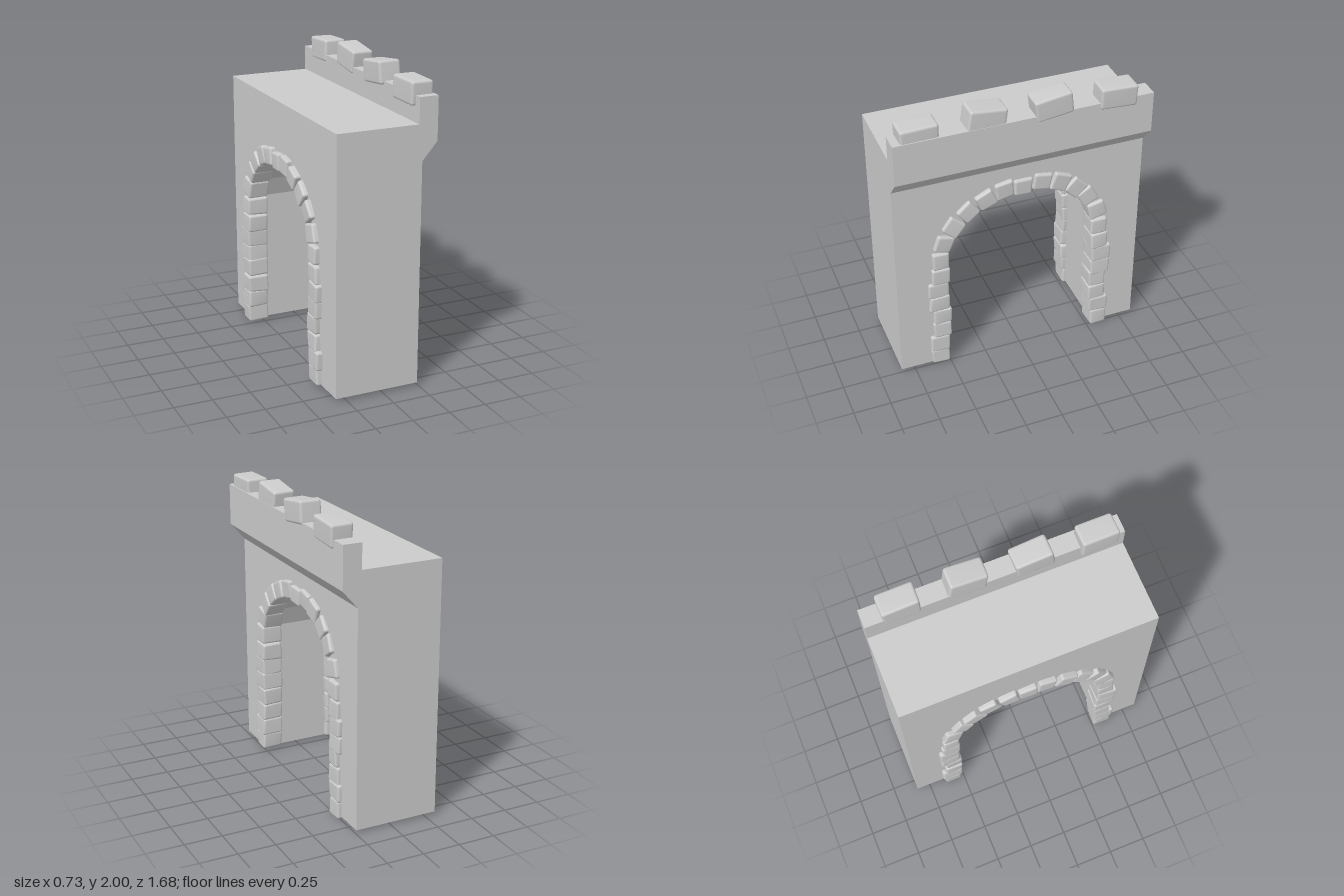
import * as THREE from 'three';
import { mergeVertices } from 'three/addons/utils/BufferGeometryUtils.js';
import { RoundedBoxGeometry } from 'three/addons/geometries/RoundedBoxGeometry.js';

const grey = new THREE.MeshStandardMaterial({ color: 0xcccccc });

// Small seeded generator, returns -1..1
let seed = 7;
function rand() {
  seed = (seed * 16807) % 2147483647;
  return (seed / 2147483647) * 2 - 1;
}

// Worn block: a rounded box whose eight corners are pulled about slightly
function stoneGeometry(w, h, d, radius, wobble) {
  const geo = new RoundedBoxGeometry(w, h, d, 2, radius);
  const p = geo.attributes.position;
  const corners = Array.from({ length: 8 }, () => new THREE.Vector3(rand(), rand(), rand()).multiplyScalar(wobble));
  const v = new THREE.Vector3();
  for (let i = 0; i < p.count; i++) {
    v.fromBufferAttribute(p, i);
    const t = [v.x / w + 0.5, v.y / h + 0.5, v.z / d + 0.5];
    corners.forEach((c, k) => {
      const weight = t.reduce((m, s, axis) => m * ((k >> axis) & 1 ? s : 1 - s), 1);
      v.addScaledVector(c, weight);
    });
    p.setXYZ(i, v.x, v.y, v.z);
  }
  geo.deleteAttribute('normal');
  geo.deleteAttribute('uv');
  const smooth = mergeVertices(geo, 1e-5);
  smooth.computeVertexNormals();
  return smooth;
}

function addMesh(parent, name, geo) {
  const mesh = new THREE.Mesh(geo, grey);
  mesh.name = name;
  parent.add(mesh);
  return mesh;
}

// Arch stones: z, y, radial width, outward angle in degrees
const archStones = [
  [0.57, 0.075, 0.12, 0], [0.57, 0.185, 0.14, 0], [0.55, 0.3, 0.12, 0], [0.547, 0.415, 0.12, 0],
  [0.563, 0.527, 0.14, 0], [0.565, 0.637, 0.14, 0], [0.55, 0.75, 0.12, 0], [0.545, 0.873, 0.115, 2],
  [0.52, 1.0, 0.12, 20], [0.455, 1.12, 0.12, 38], [0.355, 1.21, 0.12, 50], [0.24, 1.277, 0.12, 65],
  [0.11, 1.318, 0.12, 80], [-0.016, 1.315, 0.115, 93], [-0.143, 1.318, 0.115, 102], [-0.27, 1.285, 0.125, 114],
  [-0.38, 1.213, 0.12, 135], [-0.466, 1.12, 0.115, 148], [-0.535, 0.998, 0.12, 165],
  [-0.556, 0.86, 0.115, 180], [-0.562, 0.733, 0.12, 180], [-0.577, 0.625, 0.14, 180], [-0.577, 0.515, 0.14, 180],
  [-0.556, 0.412, 0.12, 180], [-0.562, 0.287, 0.12, 180], [-0.577, 0.175, 0.14, 180], [-0.577, 0.066, 0.12, 180],
];

// Merlons along the parapet: x, y, z, tilt
const merlons = [
  [0.263, 1.88, 0.67, 0],
  [0.268, 1.907, 0.245, -0.12],
  [0.283, 1.914, -0.18, 0.14],
  [0.288, 1.893, -0.605, -0.05],
];

export function createModel() {
  const group = new THREE.Group();
  group.name = 'gateway';

  // Wall block with a faceted arched opening running through it
  const half = 0.8425;
  const archHalf = [[0.54, 0.02], [0.54, 0.92], [0.49, 1.05], [0.4, 1.16], [0.27, 1.25], [0.13, 1.3]];
  const opening = [...archHalf, ...archHalf.map(([z, y]) => [-z, y]).reverse()];
  const outline = [...opening, [-half, 0.02], [-half, 1.705], [half, 1.705], [half, 0.02]];
  const wallShape = new THREE.Shape(outline.map(([z, y]) => new THREE.Vector2(z, y)));
  const wall = new THREE.ExtrudeGeometry(wallShape, { depth: 0.565, bevelEnabled: false });
  wall.rotateY(Math.PI / 2).translate(-0.32, 0, 0);
  addMesh(group, 'wall', wall);

  // Parapet with its sloping corbel
  const parapetShape = new THREE.Shape(
    [[0.245, 1.475], [0.345, 1.59], [0.345, 1.87], [0.22, 1.87], [0.22, 1.6]].map(([x, y]) => new THREE.Vector2(x, y)));
  const parapet = new THREE.ExtrudeGeometry(parapetShape, { depth: 2 * half, bevelEnabled: false });
  parapet.translate(0, 0, -half);
  addMesh(group, 'parapet', parapet);

  // Merlon blocks
  for (const [x, y, z, tilt] of merlons) {
    const m = addMesh(group, 'merlon', stoneGeometry(0.148, 0.15, 0.245, 0.018, 0.004));
    m.position.set(x, y, z);
    m.rotation.x = tilt;
  }

  // Stone surround on both faces of the wall
  for (const [name, x] of [['outerArch', 0.2], ['innerArch', -0.286]]) {
    const arch = new THREE.Group();
    arch.name = name;
    for (const [z, y, width, angle] of archStones) {
      const s = addMesh(arch, 'archStone', stoneGeometry(0.142, 0.122, width, 0.016, 0.006));
      s.position.set(x, y, z);
      s.rotation.x = -THREE.MathUtils.degToRad(angle);
    }
    group.add(arch);
  }

  return group;
}
